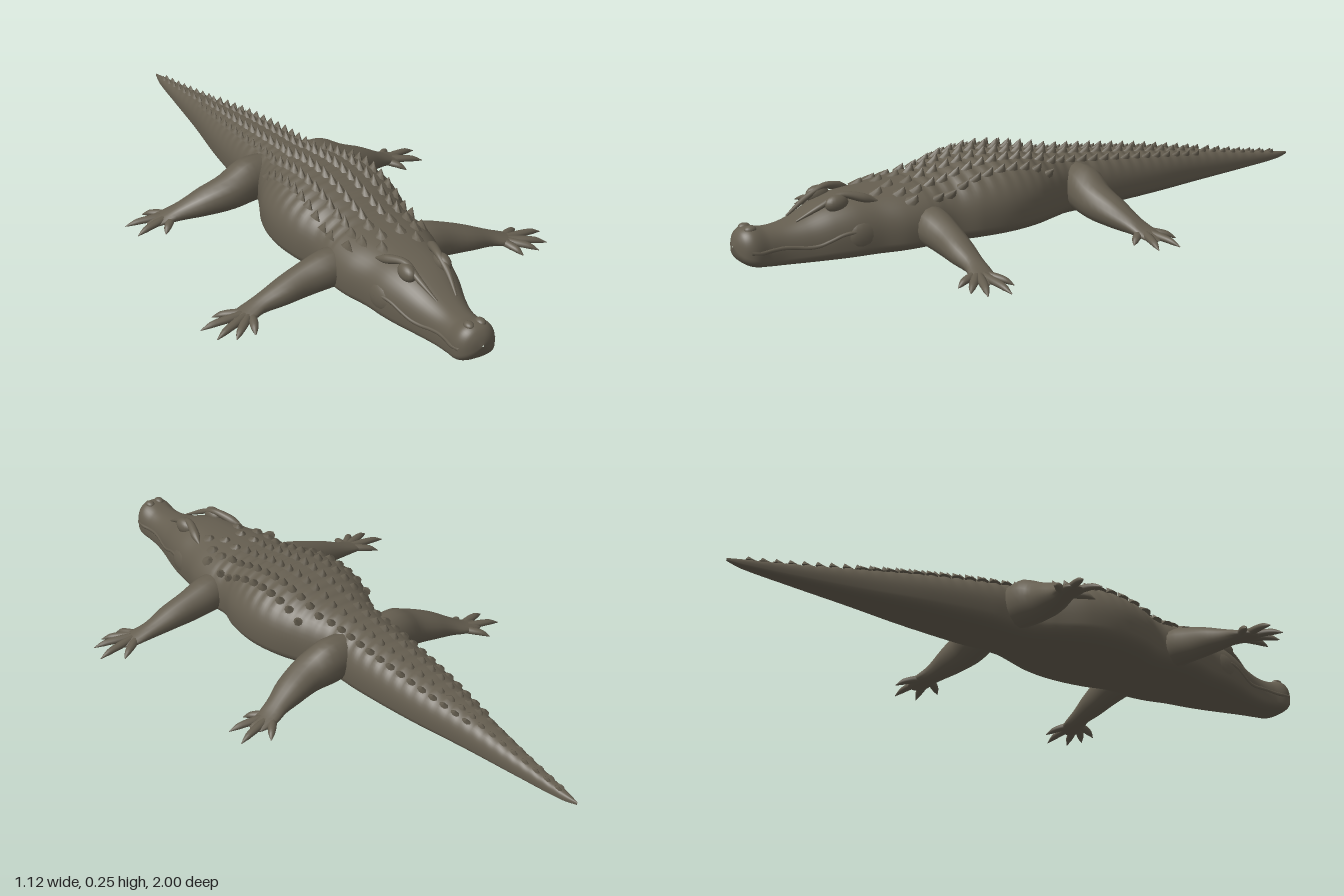
import * as THREE from 'three';
import { mergeGeometries } from 'three/addons/utils/BufferGeometryUtils.js';

// Body profile, one station per line: z, half width, top, bottom
const STATIONS = [
  [-1, 0.002, 0.042, 0.034],
  [-0.95, 0.013, 0.05, 0.026],
  [-0.8, 0.031, 0.075, 0.02],
  [-0.6, 0.056, 0.113, 0.015],
  [-0.4, 0.088, 0.147, 0.012],
  [-0.2, 0.108, 0.177, 0.01],
  [-0.06, 0.114, 0.196, 0.01],
  [0, 0.138, 0.207, 0.01],
  [0.1, 0.182, 0.227, 0.01],
  [0.2, 0.198, 0.234, 0.01],
  [0.3, 0.185, 0.224, 0.01],
  [0.38, 0.158, 0.207, 0.01],
  [0.46, 0.164, 0.198, 0.01],
  [0.53, 0.156, 0.194, 0.01],
  [0.6, 0.134, 0.19, 0.01],
  [0.67, 0.122, 0.186, 0.011],
  [0.73, 0.105, 0.172, 0.012],
  [0.8, 0.08, 0.145, 0.014],
  [0.86, 0.064, 0.131, 0.017],
  [0.91, 0.06, 0.13, 0.021],
  [0.955, 0.062, 0.14, 0.028],
  [0.98, 0.05, 0.132, 0.042],
  [0.994, 0.028, 0.112, 0.062],
  [1, 0.002, 0.09, 0.086],
];

// Smooth interpolation of the profile
function profile(z) {
  const n = STATIONS.length;
  let i = 0;
  while (i < n - 2 && z > STATIONS[i + 1][0]) i++;
  const a = STATIONS[i], b = STATIONS[i + 1];
  const p = STATIONS[Math.max(i - 1, 0)], q = STATIONS[Math.min(i + 2, n - 1)];
  const h = b[0] - a[0], t = (z - a[0]) / h;
  return [1, 2, 3].map((k) => {
    const m0 = (b[k] - p[k]) / (b[0] - p[0]) * h;
    const m1 = (q[k] - a[k]) / (q[0] - a[0]) * h;
    const t2 = t * t, t3 = t2 * t;
    return (2 * t3 - 3 * t2 + 1) * a[k] + (t3 - 2 * t2 + t) * m0 +
      (3 * t2 - 2 * t3) * b[k] + (t3 - t2) * m1;
  });
}

// Point of the skin at length z and angle a: domed back, flat belly
function skinPoint(z, a) {
  const [w, top, bottom] = profile(z);
  const c = Math.cos(a), s = Math.sin(a);
  const mid = bottom + (top - bottom) * 0.38;
  const x = w * Math.sign(c) * Math.abs(c) ** 0.8;
  let y = s >= 0 ? mid + (top - mid) * s ** 0.9 : mid - (mid - bottom) * (-s) ** 0.5;
  // shallow bands across the back
  if (s > 0.3 && z < 0.45 && z > -0.95) {
    y += 0.005 * (s - 0.3) * Math.cos((0.42 - z) / 0.042 * Math.PI * 2) * Math.min(1, top * 6);
  }
  return new THREE.Vector3(x, y, z);
}

// Closed surface through rings of points
function loft(rings) {
  const n = rings[0].length, index = [];
  for (let i = 0; i < rings.length - 1; i++) {
    for (let j = 0; j < n; j++) {
      const a = i * n + j, b = i * n + (j + 1) % n;
      index.push(a, a + n, b, b, a + n, b + n);
    }
  }
  const g = new THREE.BufferGeometry().setFromPoints(rings.flat());
  g.setIndex(index);
  g.computeVertexNormals();
  return g;
}

// Oval tube; each point is x, y, z, half width, half height
function limb(points, steps = 24, sides = 16) {
  const path = new THREE.CatmullRomCurve3(points.map((p) => new THREE.Vector3(p[0], p[1], p[2])));
  const size = new THREE.CatmullRomCurve3(points.map((p) => new THREE.Vector3(p[3], p[4], 0)));
  const up = new THREE.Vector3(0, 1, 0), rings = [];
  for (let i = 0; i <= steps; i++) {
    const t = i / steps, o = path.getPoint(t), r = size.getPoint(t);
    const side = path.getTangent(t).cross(up).normalize();
    rings.push(Array.from({ length: sides }, (_, j) => {
      const a = j / sides * Math.PI * 2;
      return o.clone().addScaledVector(side, Math.cos(a) * r.x).addScaledVector(up, Math.sin(a) * r.y);
    }));
  }
  return loft(rings);
}

// Keeled scale set on the back, its tip swept towards the tail
function scute(x, z, width, length, height) {
  const w = profile(z)[0];
  const a = Math.acos(Math.min(1, Math.abs(x) / w) ** 1.25);
  const p = skinPoint(z, a);
  const e = skinPoint(z, a + 0.05).sub(skinPoint(z, a - 0.05));
  const g = new THREE.ConeGeometry(1, 1, 8, 2);
  const v = g.attributes.position;
  for (let i = 0; i < v.count; i++) {
    const y = v.getY(i) + 0.5;
    v.setXYZ(i, v.getX(i) * width, y * height - 0.004, v.getZ(i) * length - y * length * 0.6);
  }
  g.computeVertexNormals();
  g.rotateZ(Math.atan2(-e.y, -e.x) * 0.8);
  g.translate(p.x, p.y, z);
  if (x < 0) {
    g.translate(-2 * p.x, 0, 0);
  }
  return g;
}

function bump(x, y, z, rx, ry, rz) {
  return new THREE.SphereGeometry(1, 20, 14).scale(rx, ry, rz).translate(x, y, z);
}

export function createModel() {
  const model = new THREE.Group();
  const skin = new THREE.MeshStandardMaterial({ color: 0x655e50 });
  skin.name = 'olive brown skin';
  const add = (name, geometry, parent = model) => {
    const mesh = new THREE.Mesh(geometry, skin);
    mesh.name = name;
    parent.add(mesh);
    return mesh;
  };

  // Head, trunk and tail in one skin, with closer rings at the snout
  const rings = [];
  for (let i = 0; i <= 260; i++) {
    const z = 1 - 2 * (i / 260) ** 1.3;
    rings.push(Array.from({ length: 48 }, (_, j) => skinPoint(z, j / 48 * Math.PI * 2)));
  }
  add('body', loft(rings));

  // Rows of scales that narrow into the tail crest
  const scales = [];
  for (let i = 0; i < 33; i++) {
    const z = 0.42 - i * 0.042;
    const w = profile(z)[0];
    const k = Math.min(1, 0.35 + w * 4.5);
    const rows = z > 0 ? [0.03, 0.085, 0.132] : z > -0.62 ? [w * 0.24, w * 0.62] : [w * 0.35];
    for (const x of rows) {
      if (x > w * 0.86) continue;
      for (const s of [-1, 1]) scales.push(scute(s * x, z, 0.014 * k, 0.02, 0.022 * k + 0.003));
    }
  }
  add('backScales', mergeGeometries(scales));

  // Larger scales on the neck
  const neck = [];
  for (const [x, z] of [[0.035, 0.47], [0.09, 0.47], [0.03, 0.53], [0.085, 0.52], [0.12, 0.5], [0.055, 0.58]]) {
    for (const s of [-1, 1]) neck.push(scute(s * x, z, 0.02, 0.025, 0.02));
  }
  add('neckScales', mergeGeometries(neck));

  // Limbs and face of each side
  const frontToes = [[0.505, 0.412], [0.562, 0.458], [0.543, 0.522], [0.497, 0.548], [0.44, 0.552]];
  const hindToes = [[0.428, -0.205], [0.503, -0.162], [0.494, -0.092], [0.418, -0.06]];
  for (const s of [1, -1]) {
    const side = s > 0 ? 'left' : 'right';
    const pt = (points) => points.map(([x, ...rest]) => [s * x, ...rest]);
    const leg = (name, points, toes, palm) => {
      const group = new THREE.Group();
      group.name = side + name;
      add('leg', limb(pt(points)), group);
      const toeShapes = toes.map(([x, z]) => {
        const at = (t) => [palm[0] + (x - palm[0]) * t, palm[1] + (z - palm[1]) * t];
        const [[x0, z0], [x1, z1], [x2, z2]] = [at(0.15), at(0.5), at(0.78)];
        return limb(pt([
          [x0, 0.024, z0, 0.012, 0.012], [x1, 0.021, z1, 0.013, 0.011],
          [x2, 0.016, z2, 0.01, 0.009], [x, 0.006, z, 0.001, 0.001],
        ]), 12, 10);
      });
      add('toes', mergeGeometries(toeShapes), group);
      model.add(group);
    };
    leg('FrontLeg', [
      [0.08, 0.085, 0.45, 0.055, 0.06], [0.16, 0.085, 0.45, 0.056, 0.058],
      [0.24, 0.068, 0.45, 0.046, 0.05], [0.31, 0.053, 0.455, 0.042, 0.038],
      [0.38, 0.035, 0.458, 0.032, 0.024], [0.43, 0.023, 0.468, 0.036, 0.015],
      [0.47, 0.016, 0.475, 0.026, 0.009], [0.482, 0.014, 0.476, 0.001, 0.001],
    ], frontToes, [0.41, 0.468]);
    leg('HindLeg', [
      [0.05, 0.1, -0.1, 0.055, 0.068], [0.13, 0.097, -0.097, 0.06, 0.072],
      [0.2, 0.079, -0.09, 0.056, 0.058], [0.28, 0.058, -0.103, 0.048, 0.043],
      [0.34, 0.038, -0.118, 0.036, 0.027], [0.385, 0.024, -0.13, 0.036, 0.016],
      [0.43, 0.016, -0.132, 0.03, 0.009], [0.445, 0.014, -0.132, 0.001, 0.001],
    ], hindToes, [0.36, -0.128]);

    // Raised eye, brow ridge, nostril and jowl
    add(side + 'Eye', bump(s * 0.056, 0.175, 0.705, 0.022, 0.026, 0.036));
    add(side + 'Nostril', bump(s * 0.018, 0.134, 0.955, 0.014, 0.011, 0.018));
    add(side + 'Jowl', bump(s * 0.095, 0.085, 0.64, 0.034, 0.055, 0.07));
    add(side + 'Brow', limb(pt([
      [0.03, 0.136, 0.82, 0.003, 0.003], [0.046, 0.172, 0.75, 0.009, 0.009],
      [0.052, 0.196, 0.69, 0.011, 0.009], [0.072, 0.183, 0.63, 0.014, 0.014],
      [0.085, 0.17, 0.59, 0.004, 0.004],
    ])));
    // Lip along the upper jaw
    const lip = [];
    for (let i = 0; i <= 10; i++) {
      const z = 0.65 + i * 0.032;
      const p = skinPoint(z, 0.12 + 0.08 * Math.sin(i * 1.1));
      lip.push([p.x - 0.001, p.y, z, 0.004, 0.006]);
    }
    add(side + 'Lip', limb(pt(lip), 40, 8));
  }
  return model;
}
